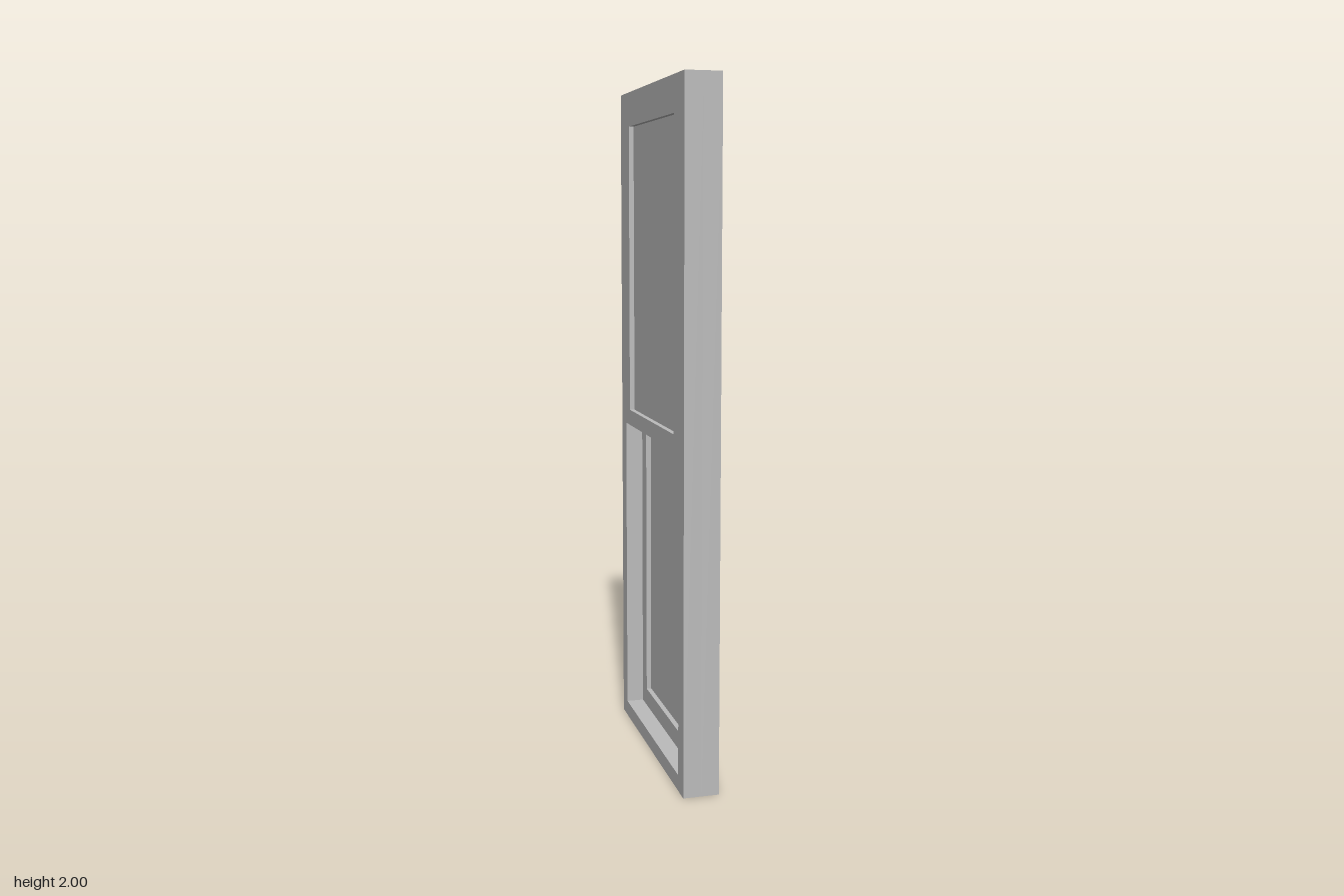
import * as THREE from 'three';

const HALF_WIDTH = 0.368, HEIGHT = 2, DEPTH = 0.0525;
const OPENING = { half: 0.314, y0: 1.024, y1: 1.953 };  // deep opening beside the other sash
const GLASS = { half: 0.262, y0: 0.102, y1: 0.976 };    // glazed opening of this sash
const GLASS_INSET = 0.015;

function rectangle(PathType, half, y0, y1) {
  const path = new PathType();
  path.moveTo(-half, y0);
  path.lineTo(half, y0);
  path.lineTo(half, y1);
  path.lineTo(-half, y1);
  path.closePath();
  return path;
}

// One half of the window's thickness: frame with a sash below and an open bay above
function createLayer(name, material) {
  const layer = new THREE.Group();
  layer.name = name;

  const shape = rectangle(THREE.Shape, HALF_WIDTH, 0, HEIGHT);
  for (const hole of [OPENING, GLASS]) {
    shape.holes.push(rectangle(THREE.Path, hole.half, hole.y0, hole.y1));
  }
  const frameGeometry = new THREE.ExtrudeGeometry(shape, { depth: DEPTH, bevelEnabled: false });
  frameGeometry.rotateY(Math.PI / 2);
  const frame = new THREE.Mesh(frameGeometry, material);
  frame.name = 'frame';

  // Pane set back from both faces of the sash
  const pane = new THREE.Mesh(
    new THREE.BoxGeometry(DEPTH - 2 * GLASS_INSET, GLASS.y1 - GLASS.y0, 2 * GLASS.half), material);
  pane.position.set(DEPTH / 2, (GLASS.y0 + GLASS.y1) / 2, 0);
  pane.name = 'pane';

  layer.add(frame, pane);
  return layer;
}

export function createModel() {
  const grey = new THREE.MeshStandardMaterial({ color: 0xbcbcbc });
  grey.name = 'light grey';

  const model = new THREE.Group();
  model.name = 'sashWindow';

  // The second layer is the first turned upside down, so the sashes alternate
  const lowerSash = createLayer('lowerSashLayer', grey);
  const upperSash = createLayer('upperSashLayer', grey);
  upperSash.rotation.z = Math.PI;
  upperSash.position.y = HEIGHT;

  model.add(lowerSash, upperSash);
  return model;
}
